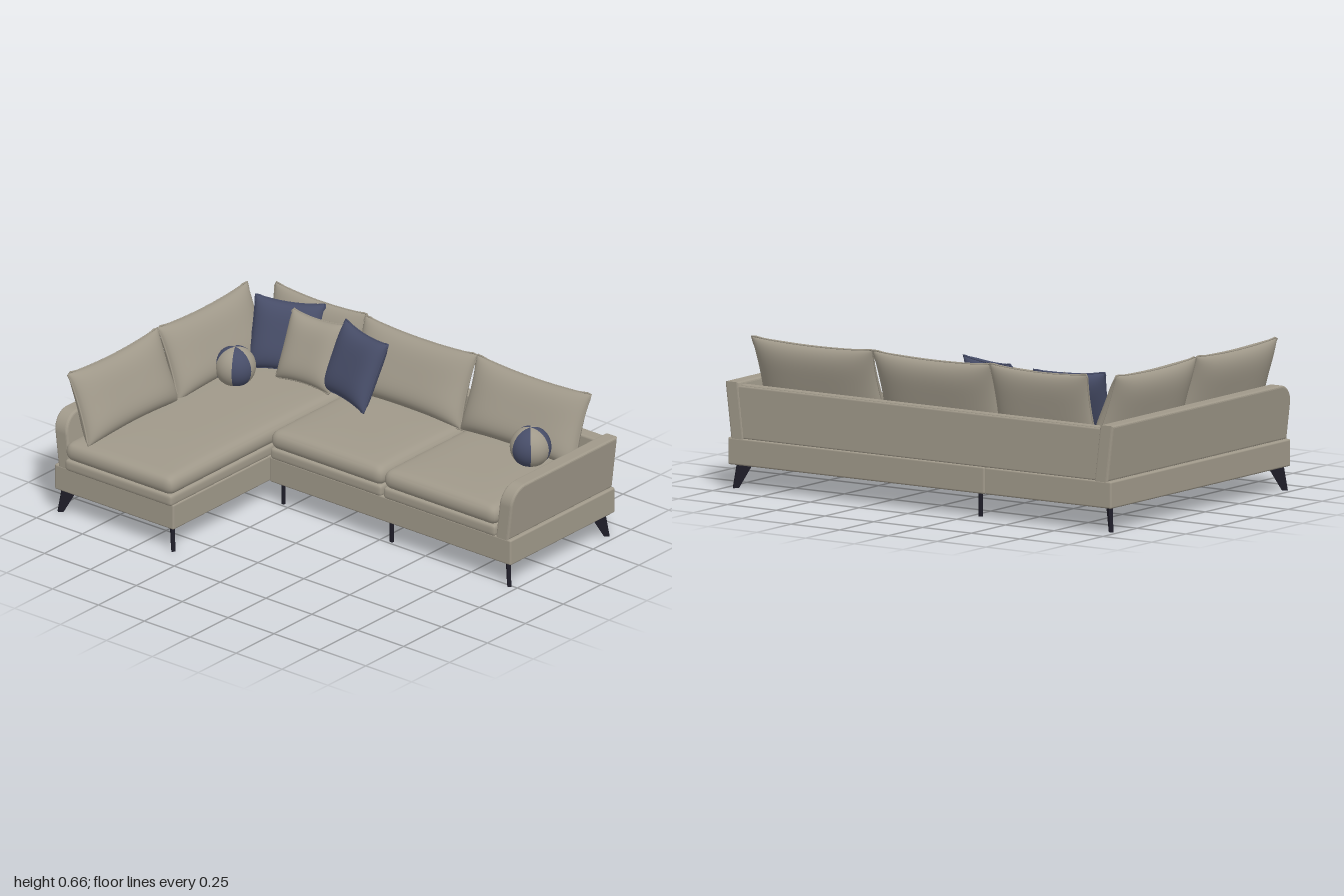
import * as THREE from 'three';
import { mergeVertices } from 'three/addons/utils/BufferGeometryUtils.js';
import { RoundedBoxGeometry } from 'three/addons/geometries/RoundedBoxGeometry.js';

const mat = (name, color) => {
  const m = new THREE.MeshStandardMaterial({ color });
  m.name = name;
  return m;
};

export function createModel() {
  const fabric = mat('taupe fabric', 0xa0998a);
  const navy = mat('navy fabric', 0x474d68);
  const legPaint = mat('dark leg', 0x1d1c27);
  const sofa = new THREE.Group();
  sofa.name = 'cornerSofa';

  const add = (name, geometry, material, parent = sofa) => {
    const mesh = new THREE.Mesh(geometry, material);
    mesh.name = name;
    parent.add(mesh);
    return mesh;
  };

  // Rounded block given by its limits on each axis
  const block = (name, [x0, x1], [y0, y1], [z0, z1], r) => {
    const g = new RoundedBoxGeometry(x1 - x0, y1 - y0, z1 - z0, 3, r);
    g.translate((x0 + x1) / 2, (y0 + y1) / 2, (z0 + z1) / 2);
    return add(name, g, fabric);
  };

  // Soft slab: box with rounded edges and a gently domed top
  const softSlab = (name, [x0, x1], [y0, y1], [z0, z1], r, dome) => {
    const half = [(x1 - x0) / 2, (y1 - y0) / 2, (z1 - z0) / 2];
    let g = new THREE.BoxGeometry(2, 2, 2, 28, 10, 28);
    g.deleteAttribute('uv');
    g.deleteAttribute('normal');
    g = mergeVertices(g);
    const p = g.attributes.position;
    const v = new THREE.Vector3(), core = new THREE.Vector3();
    const inner = new THREE.Vector3(half[0] - r, half[1] - r, half[2] - r);
    for (let i = 0; i < p.count; i++) {
      v.fromBufferAttribute(p, i);
      const [a, b, c] = v.toArray().map((t) => Math.sin((t * Math.PI) / 2));
      v.set(a * half[0], b * half[1], c * half[2]);
      core.copy(v).clamp(inner.clone().negate(), inner);
      v.sub(core).setLength(r).add(core);
      if (b > 0) v.y += dome * b * (1 - a ** 4) * (1 - c ** 4);
      p.setXYZ(i, v.x, v.y, v.z);
    }
    g.translate((x0 + x1) / 2, (y0 + y1) / 2, (z0 + z1) / 2);
    g.computeVertexNormals();
    add(name, g, fabric);
  };

  // Pillow: two bulging faces with raised corners and a piped seam
  const pillow = (name, w, h, t, material, [x, y, z], yaw, lean, heavy = 0) => {
    const group = new THREE.Group();
    group.name = name;
    const point = (u, v) => new THREE.Vector3(
      (u * w / 2) * (1 - 0.04 * (1 - v * v)),
      (v * h / 2) * (1 - 0.09 * (1 - u * u)),
      (t / 2) * Math.sqrt(Math.max(0, (1 - u ** 4) * (1 - v ** 4))) * (1 - heavy * v));
    const face = new THREE.PlaneGeometry(2, 2, 26, 26);
    const p = face.attributes.position;
    for (let i = 0; i < p.count; i++) {
      const q = point(Math.sin(p.getX(i) * Math.PI / 2), Math.sin(p.getY(i) * Math.PI / 2));
      p.setXYZ(i, q.x, q.y, q.z);
    }
    face.computeVertexNormals();
    add('pillowFront', face, material, group);
    add('pillowBack', face.clone().rotateY(Math.PI), material, group);

    const seam = [];
    for (let side = 0; side < 4; side++) {
      for (let k = 0; k < 10; k++) {
        const s = -1 + k / 5;
        const [u, v] = [[s, -1], [1, s], [-s, 1], [-1, -s]][side];
        seam.push(point(u, v));
      }
    }
    const path = new THREE.CatmullRomCurve3(seam, true);
    add('pillowPiping', new THREE.TubeGeometry(path, 80, 0.004, 6, true), material, group);
    group.position.set(x, y, z);
    group.rotation.set(-lean, yaw, 0, 'YXZ');
    sofa.add(group);
  };

  // Base frames
  block('chaiseBase', [-0.985, -0.337], [0.103, 0.219], [-0.67, 0.65], 0.008);
  block('mainBase', [-0.335, 0.98], [0.103, 0.219], [-0.67, 0.02], 0.008);

  // Back panel with a piped top edge
  block('backPanel', [-0.94, 0.94], [0.215, 0.445], [-0.667, -0.61], 0.01);
  const piping = new THREE.CylinderGeometry(0.004, 0.004, 1.86, 8).rotateZ(Math.PI / 2);
  add('backPiping', piping, fabric).position.set(0, 0.443, -0.659);

  // Arms: rounded front top corner, leaning outward
  const arm = (name, side, front) => {
    const b = 0.01, back = -0.67 + b, f = front - b, low = 0.215 + b, top = 0.457 - b, r = 0.075;
    const s = new THREE.Shape();
    s.moveTo(back, low);
    s.lineTo(f, low);
    s.lineTo(f, top - r);
    s.absarc(f - r, top - r, r, 0, Math.PI / 2, false);
    s.lineTo(back, top);
    s.closePath();
    const g = new THREE.ExtrudeGeometry(s, {
      depth: 0.048, bevelThickness: b, bevelSize: b, bevelSegments: 3, curveSegments: 14,
    });
    g.translate(0, 0, -0.024).rotateY(-Math.PI / 2);
    const p = g.attributes.position;
    for (let i = 0; i < p.count; i++) {
      p.setX(i, p.getX(i) + side * (0.932 + (p.getY(i) - 0.22) * 0.122));
    }
    g.computeVertexNormals();
    add(name, g, fabric);
  };
  arm('leftArm', 1, 0.02);
  arm('rightArm', -1, 0.65);

  // Seat cushions: a thin lower layer under a plump upper one
  const seat = (name, x, z) => {
    const inset = [x[0] + 0.004, x[1] - 0.004];
    softSlab(name + 'Lower', inset, [0.212, 0.265], [z[0], z[1] - 0.004], 0.016, 0);
    softSlab(name + 'Upper', x, [0.258, 0.343], z, 0.04, 0.014);
  };
  seat('chaiseSeat', [-0.925, -0.335], [-0.61, 0.668]);
  seat('middleSeat', [-0.333, 0.281], [-0.61, 0.03]);
  seat('endSeat', [0.283, 0.9], [-0.61, 0.03]);

  // Back cushions along the rear and along the chaise side
  const lean = 0.35;
  pillow('cornerBackCushion', 0.5, 0.325, 0.09, fabric, [-0.575, 0.495, -0.575], 0, 0.25, 0.2);
  pillow('middleBackCushion', 0.61, 0.325, 0.13, fabric, [-0.025, 0.495, -0.552], 0, lean, 0.25);
  pillow('endBackCushion', 0.62, 0.325, 0.13, fabric, [0.59, 0.495, -0.552], 0, lean, 0.25);
  for (const z of [-0.255, 0.338]) {
    pillow('sideBackCushion', 0.59, 0.325, 0.13, fabric, [-0.87, 0.495, z], Math.PI / 2, lean, 0.25);
  }

  // Throw pillows
  pillow('navyPillow', 0.31, 0.31, 0.1, navy, [-0.66, 0.5, -0.485], 0.35, 0.38);
  pillow('taupePillow', 0.28, 0.3, 0.1, fabric, [-0.495, 0.49, -0.45], 0.05, 0.42);
  pillow('navyPillow', 0.31, 0.31, 0.1, navy, [-0.245, 0.5, -0.435], -0.27, 0.42);

  // Ball cushions made of six alternating gores
  const ball = (x, z, start) => {
    const group = new THREE.Group();
    group.name = 'ballCushion';
    for (let i = 0; i < 6; i++) {
      const a = start + i * Math.PI / 3;
      add('ballGore', new THREE.SphereGeometry(0.088, 8, 24, a, Math.PI / 3), i % 2 ? fabric : navy, group);
    }
    group.position.set(x, 0.427, z);
    sofa.add(group);
  };
  ball(0.73, -0.415, 1.22);
  ball(-0.735, -0.24, 2.09);

  // Splayed corner legs: tapered plates set on the diagonal
  const plate = new THREE.Shape([[-0.07, 0.108], [-0.006, 0], [0.018, 0], [0, 0.108]]
    .map(([d, y]) => new THREE.Vector2(d, y)));
  const corners = [
    [-0.96, 0.63, -1, 1], [-0.355, 0.63, 1, 1], [0.955, 0, 1, 1],
    [0.955, -0.635, 1, -1], [-0.96, -0.635, -1, -1],
  ];
  for (const [x, z, sx, sz] of corners) {
    const g = new THREE.ExtrudeGeometry(plate, { depth: 0.016, bevelEnabled: false });
    g.translate(0, 0, -0.008);
    const leg = add('splayedLeg', g, legPaint);
    leg.position.set(x, 0, z);
    leg.rotation.y = Math.atan2(-sz, sx);
  }

  // Straight support legs
  for (const [x, z] of [[-0.29, -0.02], [0.3, -0.02], [-0.29, -0.63]]) {
    add('supportLeg', new THREE.CylinderGeometry(0.009, 0.009, 0.108, 16), legPaint).position.set(x, 0.054, z);
  }

  return sofa;
}
